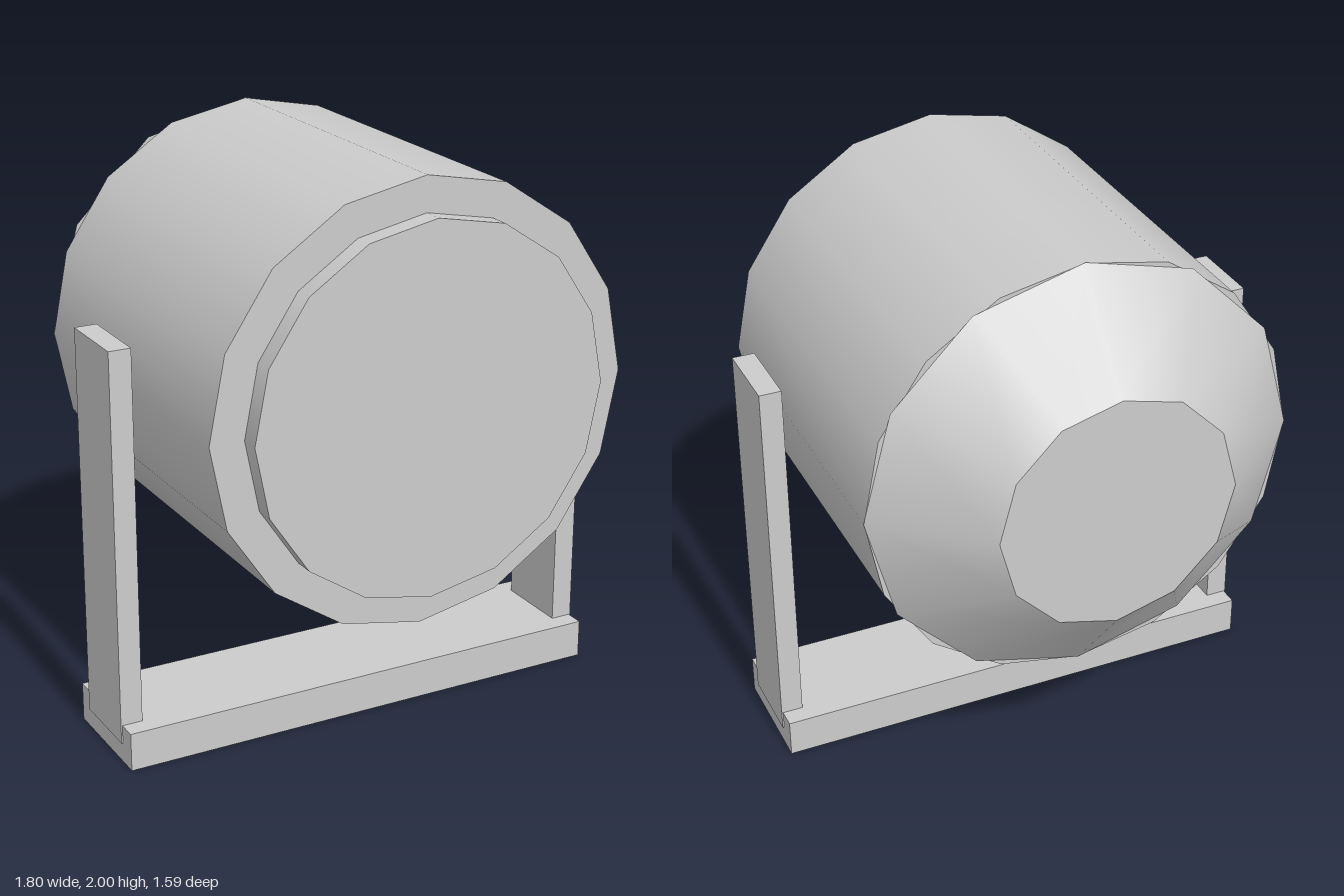
import * as THREE from 'three';

export function createModel() {
  const model = new THREE.Group();
  model.name = 'stageLight';
  const grey = new THREE.MeshStandardMaterial({ color: 0xcccccc });
  grey.name = 'light grey';

  const add = (parent, name, geometry, x, y, z) => {
    const mesh = new THREE.Mesh(geometry, grey);
    mesh.name = name;
    mesh.position.set(x, y, z);
    parent.add(mesh);
  };

  // Round parts lie along z, sharing one axis
  const drum = (name, rFront, rBack, zFront, zBack, sides) => {
    const g = new THREE.CylinderGeometry(rFront, rBack, zFront - zBack, sides);
    g.rotateX(Math.PI / 2);
    add(lamp, name, g, 0, 0, (zFront + zBack) / 2);
  };
  const lamp = new THREE.Group();
  lamp.name = 'lampHead';
  lamp.position.y = 1.245;
  model.add(lamp);
  drum('housing', 0.755, 0.755, 0.725, -0.515, 16);
  drum('lens', 0.635, 0.635, 0.795, 0.725, 16);
  drum('rearTaper', 0.757, 0.415, -0.515, -0.793, 12);

  // U-shaped mounting bracket
  const bracket = new THREE.Group();
  bracket.name = 'bracket';
  model.add(bracket);
  add(bracket, 'bracketBase', new THREE.BoxGeometry(1.79, 0.136, 0.412), 0, 0.068, 0.173);
  for (const [side, name] of [[1, 'leftArm'], [-1, 'rightArm']]) {
    add(bracket, name, new THREE.BoxGeometry(0.078, 1.38, 0.275), side * 0.861, 0.76, 0.173);
  }
  return model;
}
